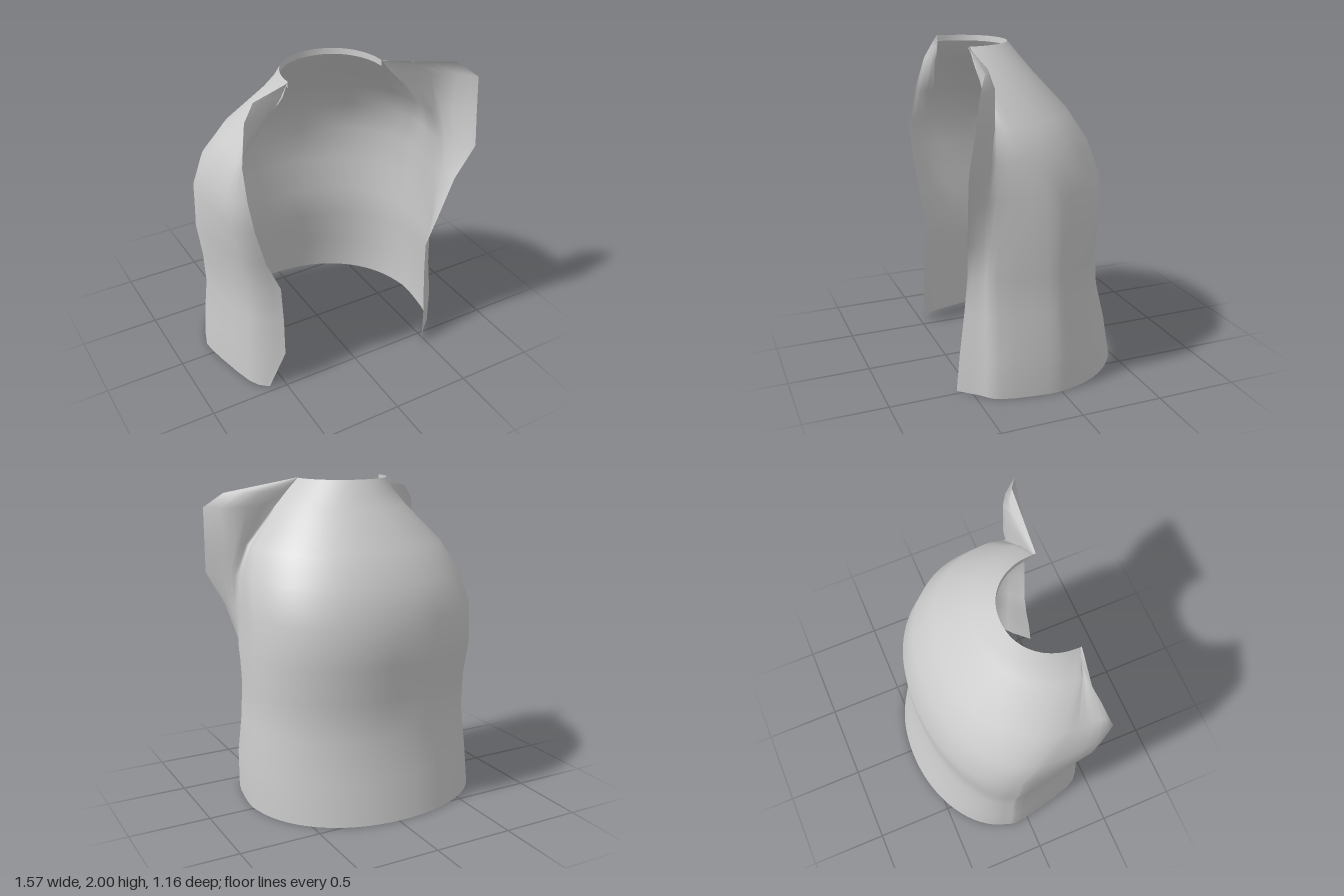
import * as THREE from 'three';

// Cross-sections, bottom to top:
// y, back z, right side x, left side x, right edge x/z, left edge x/z
const SECTIONS = [
  [0.00, -0.58, -0.78, 0.71, -0.60, 0.46, 0.47, 0.58],
  [0.25, -0.53, -0.77, 0.71, -0.50, 0.49, 0.485, 0.56],
  [0.50, -0.47, -0.75, 0.68, -0.50, 0.48, 0.49, 0.53],
  [0.73, -0.46, -0.76, 0.67, -0.505, 0.46, 0.50, 0.51],
  [0.95, -0.49, -0.79, 0.68, -0.60, 0.47, 0.57, 0.53],
  [1.20, -0.49, -0.79, 0.66, -0.67, 0.49, 0.65, 0.55],
  [1.41, -0.41, -0.77, 0.645, -0.71, 0.50, 0.76, 0.58],
  [1.60, -0.29, -0.69, 0.56, -0.71, 0.45, 0.77, 0.55],
  [1.83, -0.08, -0.50, 0.37, -0.66, 0.39, 0.78, 0.52],
  [1.92, -0.01, -0.43, 0.28, -0.59, 0.36, 0.67, 0.45],
  [2.00, 0.05, -0.39, 0.20, -0.39, 0.385, 0.20, 0.385],
];
const ARC = 16;
const FOLD_Z = 0.37;
const { smoothstep, lerp } = THREE.MathUtils;

// One open loop: right edge, fold, round the back, fold, left lapel, left edge
function sectionPoints([y, back, right, left, rightEdgeX, rightEdgeZ, leftEdgeX, leftEdgeZ]) {
  // towards the neck the arc moves forward and the folds meet the sides
  const rise = smoothstep(y, 1.1, 1.95);
  const rightInset = 0.09 * (1 - smoothstep(y, 0.8, 1.4));
  const leftFoldX = left - 0.05 * (1 - rise);
  const pts = [
    new THREE.Vector2(rightEdgeX, rightEdgeZ),
    new THREE.Vector2(right + rightInset, FOLD_Z - 0.2 * rightInset),
  ];
  for (let i = 0; i <= ARC; i++) {
    const a = (Math.PI * i) / ARC;
    const c = Math.cos(a);
    // slightly squared half-ellipse, its right side set further back low down
    const across = Math.sign(c) * Math.abs(c) ** 0.94;
    const depth = Math.max(Math.sin(a), 0) ** 0.94;
    const centreZ = 0.08 + 0.29 * rise - 0.12 * (1 - rise) * Math.max(across, 0);
    pts.push(new THREE.Vector2(
      (right + left) / 2 - across * (left - right) / 2,
      centreZ + depth * (back - centreZ)));
  }
  // the lapel runs flat across the shoulder, then turns forward
  const flat = smoothstep(y, 1.2, 1.6);
  pts.push(
    new THREE.Vector2(leftFoldX, FOLD_Z),
    new THREE.Vector2(
      lerp((leftFoldX + leftEdgeX) / 2, Math.max(leftFoldX, leftEdgeX - 0.14), flat),
      lerp((FOLD_Z + leftEdgeZ) / 2, FOLD_Z + 0.015, flat)),
    new THREE.Vector2(leftEdgeX, leftEdgeZ));
  return new THREE.SplineCurve(pts).getPoints((pts.length - 1) * 3)
    .map(p => new THREE.Vector3(p.x, y, p.y));
}

// Skin between successive rows of points
function loft(rows) {
  const n = rows[0].length;
  const index = [];
  for (let i = 0; i < rows.length - 1; i++) {
    for (let j = 0; j < n - 1; j++) {
      const a = i * n + j, b = a + 1, c = a + n, d = c + 1;
      index.push(a, c, b, b, c, d);
    }
  }
  const geometry = new THREE.BufferGeometry().setFromPoints(rows.flat());
  geometry.setIndex(index);
  geometry.computeVertexNormals();
  return geometry;
}

export function createModel() {
  const group = new THREE.Group();
  group.name = 'openVest';
  const cloth = new THREE.MeshStandardMaterial({ color: 0xcccccc, side: THREE.DoubleSide });
  cloth.name = 'light grey cloth';

  // Body with its flared front flaps
  const rows = SECTIONS.map(sectionPoints);
  const body = new THREE.Mesh(loft(rows), cloth);
  body.name = 'vestBody';
  group.add(body);

  // Narrow band turned down inside the neckline
  const neck = rows[rows.length - 1].slice(6, -9);
  const hem = neck.map(p => new THREE.Vector3(p.x, 1.965, p.z + 0.004));
  const collar = new THREE.Mesh(loft([neck, hem]), cloth);
  collar.name = 'neckBand';
  group.add(collar);

  return group;
}
